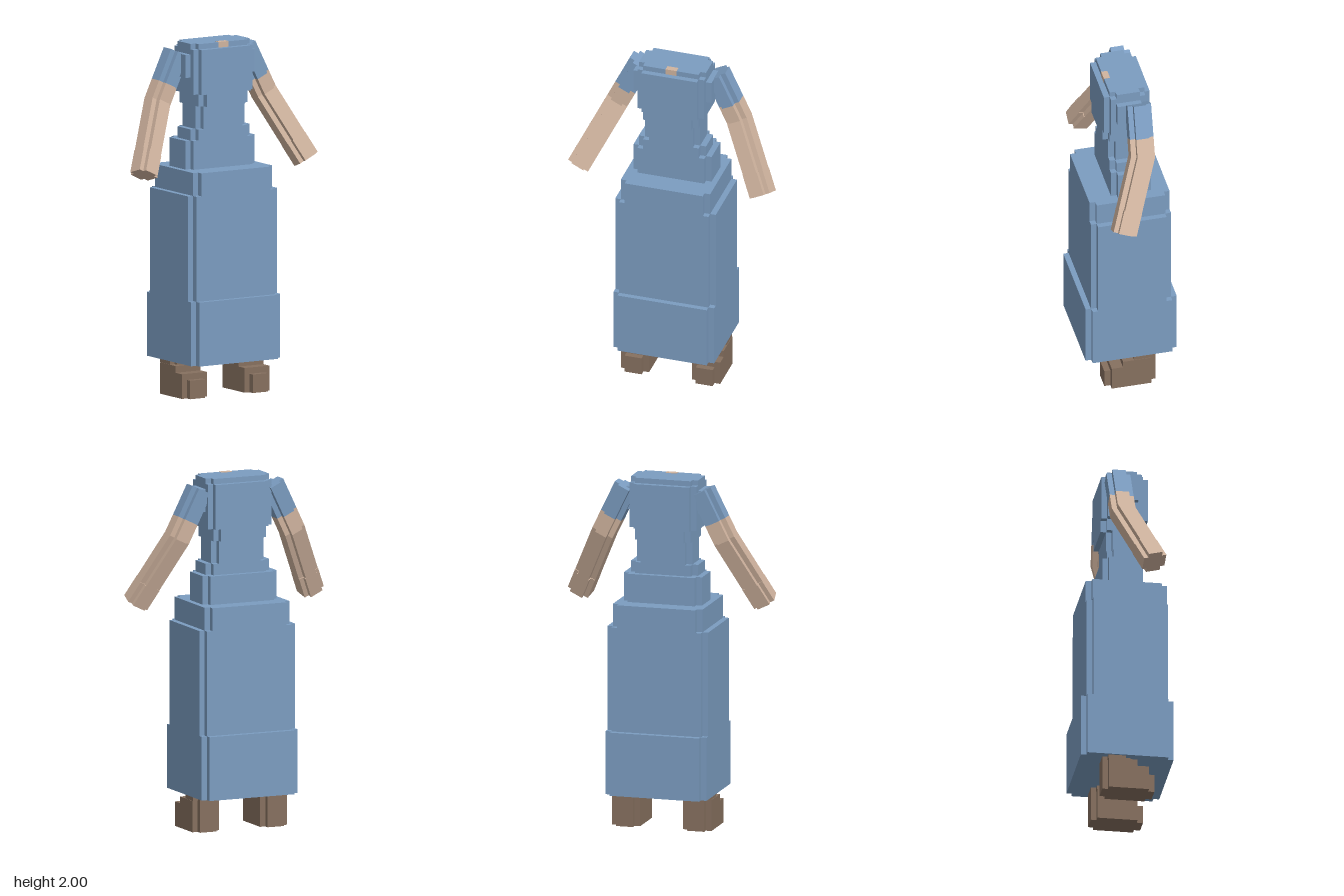
import * as THREE from 'three';

const blue = new THREE.MeshStandardMaterial({ name: 'dressBlue', color: 0x7b9cc0 });
const skin = new THREE.MeshStandardMaterial({ name: 'skin', color: 0xd0b49f });
const brown = new THREE.MeshStandardMaterial({ name: 'shoeBrown', color: 0x86705f });

// Rectangle with a square notch cut from each corner
function notched(x0, x1, y0, y1, n) {
  return new THREE.Shape([
    [x0 + n, y0], [x1 - n, y0], [x1 - n, y0 + n], [x1, y0 + n],
    [x1, y1 - n], [x1 - n, y1 - n], [x1 - n, y1], [x0 + n, y1],
    [x0 + n, y1 - n], [x0, y1 - n], [x0, y0 + n], [x0 + n, y0 + n],
  ].map(([x, y]) => new THREE.Vector2(x, y)));
}

// Upright block with notched corners
function tier(name, material, [y0, y1], [x0, x1], [z0, z1], n = 0.033) {
  const geo = new THREE.ExtrudeGeometry(notched(x0, x1, -z1, -z0, n), { depth: y1 - y0, bevelEnabled: false });
  geo.rotateX(-Math.PI / 2).translate(0, y0, 0);
  const mesh = new THREE.Mesh(geo, material);
  mesh.name = name;
  return mesh;
}

function box(name, material, [y0, y1], [x0, x1], [z0, z1]) {
  const geo = new THREE.BoxGeometry(x1 - x0, y1 - y0, z1 - z0);
  geo.translate((x0 + x1) / 2, (y0 + y1) / 2, (z0 + z1) / 2);
  const mesh = new THREE.Mesh(geo, material);
  mesh.name = name;
  return mesh;
}

// Limb piece between two stations; each gives a centre and its slanted depth direction
function limb(name, material, a, b, n) {
  const geo = new THREE.ExtrudeGeometry(notched(-0.065, 0.065, -0.068, 0.068, n), { depth: 1, bevelEnabled: false });
  const p = geo.attributes.position;
  for (let i = 0; i < p.count; i++) {
    const s = p.getZ(i) < 0.5 ? a : b;
    const d = p.getY(i);
    p.setXYZ(i, p.getX(i), s.y + d * s.dy, s.z + d * s.dz);
  }
  geo.computeVertexNormals();
  const mesh = new THREE.Mesh(geo, material);
  mesh.name = name;
  return mesh;
}

function makeArm(side) {
  const arm = new THREE.Group();
  arm.name = side > 0 ? 'leftArm' : 'rightArm';
  const bend = 0.34;
  const along = (t) => ({
    y: -0.3 - 0.423 * t, z: 0.01 + 0.15 * t, dy: Math.sin(bend), dz: Math.cos(bend),
  });
  const shoulder = { y: 0, z: 0, dy: 0, dz: 1 };
  const cuff = { y: -0.19, z: 0.006, dy: 0, dz: 1 };
  const elbow = { y: -0.3, z: 0.01, dy: Math.tan(bend / 2), dz: 1 }; // mitre
  arm.add(
    limb('sleeve', blue, shoulder, cuff, 0.03),
    limb('upperArm', skin, cuff, elbow, 0.03),
    limb('forearm', skin, elbow, along(0.7), 0.03),
    limb('hand', skin, along(0.7), along(1), 0.026),
  );
  arm.position.set(side * 0.222 - 0.003, 1.94, -0.048);
  arm.rotation.z = side * 0.456;
  return arm;
}

function makeFoot(side) {
  const foot = new THREE.Group();
  foot.name = side > 0 ? 'leftFoot' : 'rightFoot';
  foot.add(
    box('toe', brown, [0, 0.105], [-0.05, 0.05], [0.11, 0.155]),
    box('instep', brown, [0, 0.14], [-0.083, 0.083], [0.05, 0.12]),
    box('shoe', brown, [0, 0.178], [-0.083, 0.083], [-0.108, 0.055]),
    box('heel', brown, [0, 0.178], [-0.05, 0.05], [-0.14, -0.1]),
    tier('ankle', brown, [0.178, 0.21], [-0.08, 0.08], [-0.14, 0.02], 0.03),
  );
  foot.position.x = side * 0.209 - 0.003;
  return foot;
}

export function createModel() {
  const model = new THREE.Group();
  model.name = 'figure';

  // Dress, stacked from hem to neckline: name, y range, x range, z range
  const tiers = [
    ['skirtHem', [0.2, 0.563], [-0.303, 0.288], [-0.263, 0.263]],
    ['skirt', [0.563, 1.16], [-0.303, 0.288], [-0.23, 0.232]],
    ['skirtTop', [1.16, 1.29], [-0.27, 0.255], [-0.23, 0.232]],
    ['hips', [1.29, 1.452], [-0.237, 0.222], [-0.131, 0.1]],
    ['lowerWaist', [1.452, 1.515], [-0.204, 0.189], [-0.1, 0.1]],
    ['waist', [1.515, 1.645], [-0.17, 0.155], [-0.1, 0.1]],
    ['lowerChest', [1.645, 1.715], [-0.17, 0.155], [-0.131, 0.133]],
    ['chest', [1.715, 1.97], [-0.204, 0.189], [-0.131, 0.133]],
    ['shoulderTop', [1.97, 2], [-0.204, 0.189], [-0.1, 0.1]],
  ];
  for (const [name, y, x, z] of tiers) model.add(tier(name, blue, y, x, z));
  model.add(box('shoulders', blue, [1.81, 1.94], [-0.237, 0.222], [-0.07, 0.07]));

  // Bare skin at the neckline
  model.add(box('neckline', skin, [1.97, 2.002], [-0.038, 0.027], [0.066, 0.102]));

  for (const side of [-1, 1]) model.add(makeArm(side), makeFoot(side));
  return model;
}
